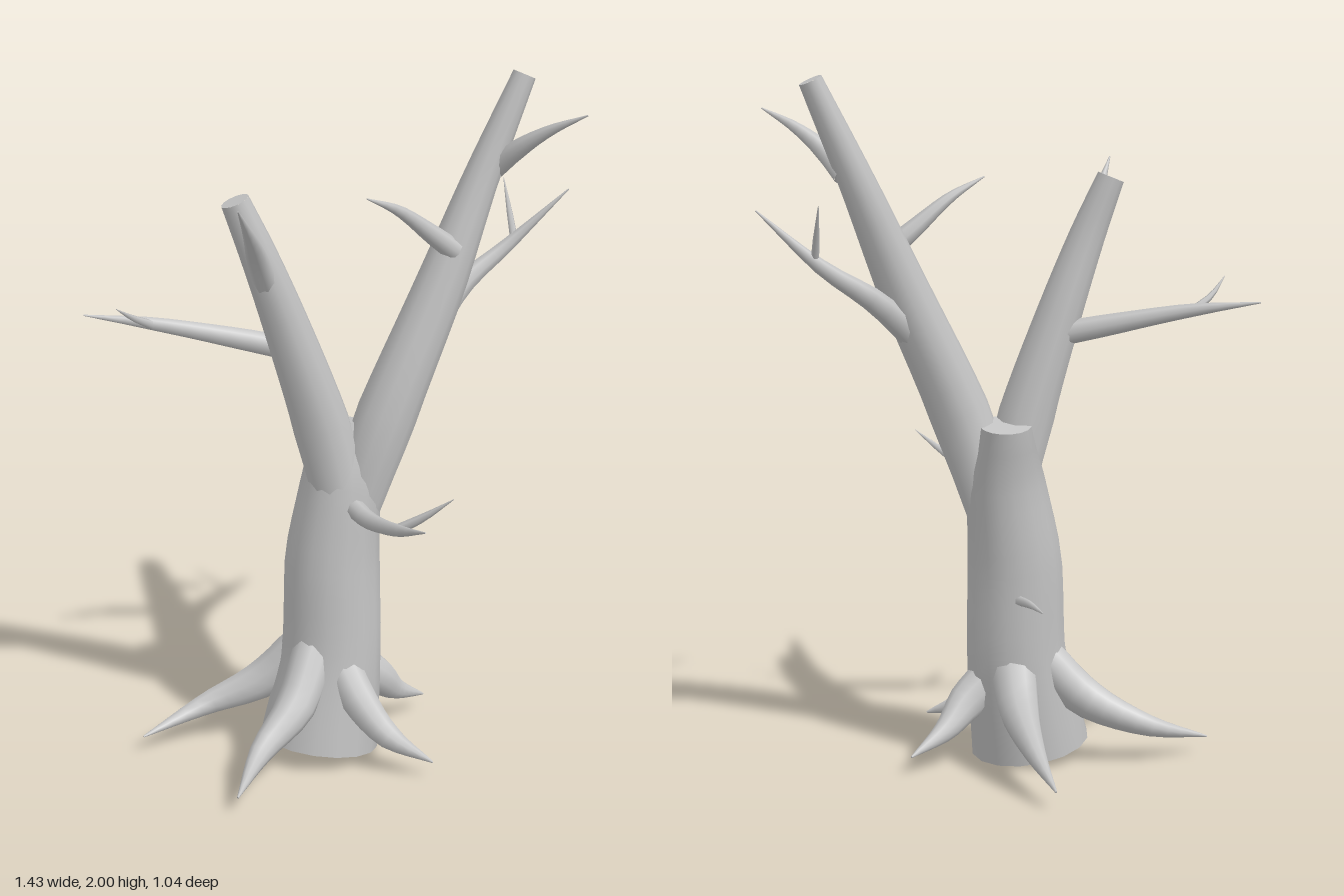
import * as THREE from 'three';
import { mergeGeometries } from 'three/addons/utils/BufferGeometryUtils.js';

// Tapered limb: each point is [x, y, z, radius]; both ends are closed.
function limbGeometry(points, sides, segments) {
  const curve = new THREE.CatmullRomCurve3(points.map(p => new THREE.Vector3(p[0], p[1], p[2])));
  const tube = new THREE.TubeGeometry(curve, segments, 1, sides);
  const pos = tube.attributes.position;
  const v = new THREE.Vector3();
  const last = points.length - 1;
  const radiusAt = u => {
    const t = curve.getUtoTmapping(u) * last;
    const k = Math.min(Math.floor(t), last - 1);
    return THREE.MathUtils.lerp(points[k][3], points[k + 1][3], t - k);
  };
  for (let i = 0; i <= segments; i++) {
    const c = curve.getPointAt(i / segments);
    const r = radiusAt(i / segments);
    for (let j = 0; j <= sides; j++) {
      const n = i * (sides + 1) + j;
      v.fromBufferAttribute(pos, n).sub(c).multiplyScalar(r).add(c);
      pos.setXYZ(n, v.x, v.y, v.z);
    }
  }
  const caps = [0, 1].map(u => {
    const cap = new THREE.CircleGeometry(radiusAt(u), sides);
    const dir = curve.getTangentAt(u).multiplyScalar(u ? 1 : -1);
    cap.applyQuaternion(new THREE.Quaternion().setFromUnitVectors(new THREE.Vector3(0, 0, 1), dir));
    const c = curve.getPointAt(u);
    return cap.translate(c.x, c.y, c.z);
  });
  return mergeGeometries([tube, ...caps]);
}

export function createModel() {
  const group = new THREE.Group();
  const bark = new THREE.MeshStandardMaterial({ color: 0xc4c4c4 });
  bark.name = 'greyBark';
  const add = (name, points, sides = 8, segments = 10) => {
    const mesh = new THREE.Mesh(limbGeometry(points, sides, segments), bark);
    mesh.name = name;
    group.add(mesh);
  };

  // Trunk and the two main limbs of the fork
  add('trunk', [[-0.09, 0.03, 0.03, 0.175], [-0.045, 0.3, 0.005, 0.147], [-0.035, 0.6, -0.01, 0.14],
    [-0.005, 0.85, -0.025, 0.113], [0, 1.0, -0.055, 0.075]], 16, 16);
  add('leftLimb', [[0.02, 0.7, -0.01, 0.07], [0.11, 1.0, 0.015, 0.09], [0.29, 1.4, -0.01, 0.073],
    [0.42, 1.7, -0.04, 0.052], [0.55, 1.985, -0.055, 0.034]], 12, 16);
  add('rightLimb', [[-0.02, 0.78, 0.01, 0.075], [-0.07, 1.0, 0.01, 0.085], [-0.17, 1.3, 0.02, 0.068],
    [-0.26, 1.54, 0.03, 0.053], [-0.325, 1.7, 0.025, 0.041]], 12, 16);

  // Branches of the left limb
  add('leftOuterBranch', [[0.27, 1.27, -0.02, 0.04], [0.38, 1.37, -0.08, 0.034],
    [0.53, 1.47, -0.11, 0.022], [0.71, 1.63, -0.09, 0.002]]);
  add('leftOuterTwig', [[0.55, 1.49, -0.11, 0.012], [0.55, 1.56, -0.15, 0.009], [0.55, 1.65, -0.205, 0.001]], 6, 5);
  add('leftInnerBranch', [[0.32, 1.505, 0.02, 0.032], [0.25, 1.56, 0.03, 0.028],
    [0.14, 1.645, 0.06, 0.016], [0.03, 1.7, 0.11, 0.002]]);
  add('leftTopBranch', [[0.46, 1.72, -0.04, 0.03], [0.51, 1.79, 0.02, 0.028],
    [0.58, 1.85, 0.08, 0.016], [0.665, 1.9, 0.145, 0.002]]);

  // Branches of the right limb
  add('rightOuterBranch', [[-0.16, 1.25, 0.0, 0.036], [-0.3, 1.28, -0.045, 0.032],
    [-0.53, 1.325, -0.11, 0.02], [-0.72, 1.35, -0.17, 0.002]]);
  add('rightOuterTwig', [[-0.53, 1.32, -0.11, 0.014], [-0.6, 1.36, -0.07, 0.009], [-0.66, 1.41, -0.005, 0.001]], 6, 5);
  add('rightFrontBranch', [[-0.24, 1.45, 0.04, 0.035], [-0.29, 1.56, 0.12, 0.03],
    [-0.33, 1.64, 0.2, 0.018], [-0.385, 1.74, 0.29, 0.002]]);

  // Small growths on the trunk
  add('frontBranch', [[0.0, 0.78, 0.06, 0.03], [0.015, 0.775, 0.18, 0.026],
    [0.04, 0.81, 0.36, 0.019], [0.07, 0.86, 0.52, 0.002]]);
  add('frontTwig', [[0.04, 0.8, 0.34, 0.016], [0.11, 0.85, 0.385, 0.012], [0.185, 0.91, 0.425, 0.001]], 6, 5);
  add('backTwig', [[-0.02, 0.5, -0.12, 0.016], [-0.04, 0.505, -0.2, 0.012], [-0.06, 0.5, -0.295, 0.002]], 6, 5);

  // Roots: broad where they leave the trunk, spreading to pointed tips near the ground
  const roots = {
    backRoot: [[-0.02, 0.29, -0.07, 0.07], [-0.015, 0.19, -0.18, 0.06], [-0.025, 0.115, -0.35, 0.032], [-0.05, 0.05, -0.52, 0.003]],
    rightRoot: [[-0.11, 0.31, -0.05, 0.065], [-0.23, 0.19, -0.09, 0.06], [-0.4, 0.11, -0.13, 0.034], [-0.6, 0.05, -0.09, 0.003]],
    frontRightRoot: [[-0.11, 0.34, 0.06, 0.065], [-0.2, 0.2, 0.15, 0.06], [-0.32, 0.11, 0.22, 0.036], [-0.43, 0.05, 0.365, 0.003]],
    frontLeftRoot: [[-0.05, 0.32, 0.07, 0.06], [-0.005, 0.2, 0.165, 0.055], [0.06, 0.11, 0.23, 0.04], [0.17, 0.05, 0.32, 0.003]],
    leftRoot: [[0.02, 0.25, -0.01, 0.07], [0.11, 0.18, -0.03, 0.056], [0.18, 0.11, -0.07, 0.034], [0.29, 0.05, -0.125, 0.003]],
  };
  for (const [name, points] of Object.entries(roots)) add(name, points, 10, 12);
  return group;
}
